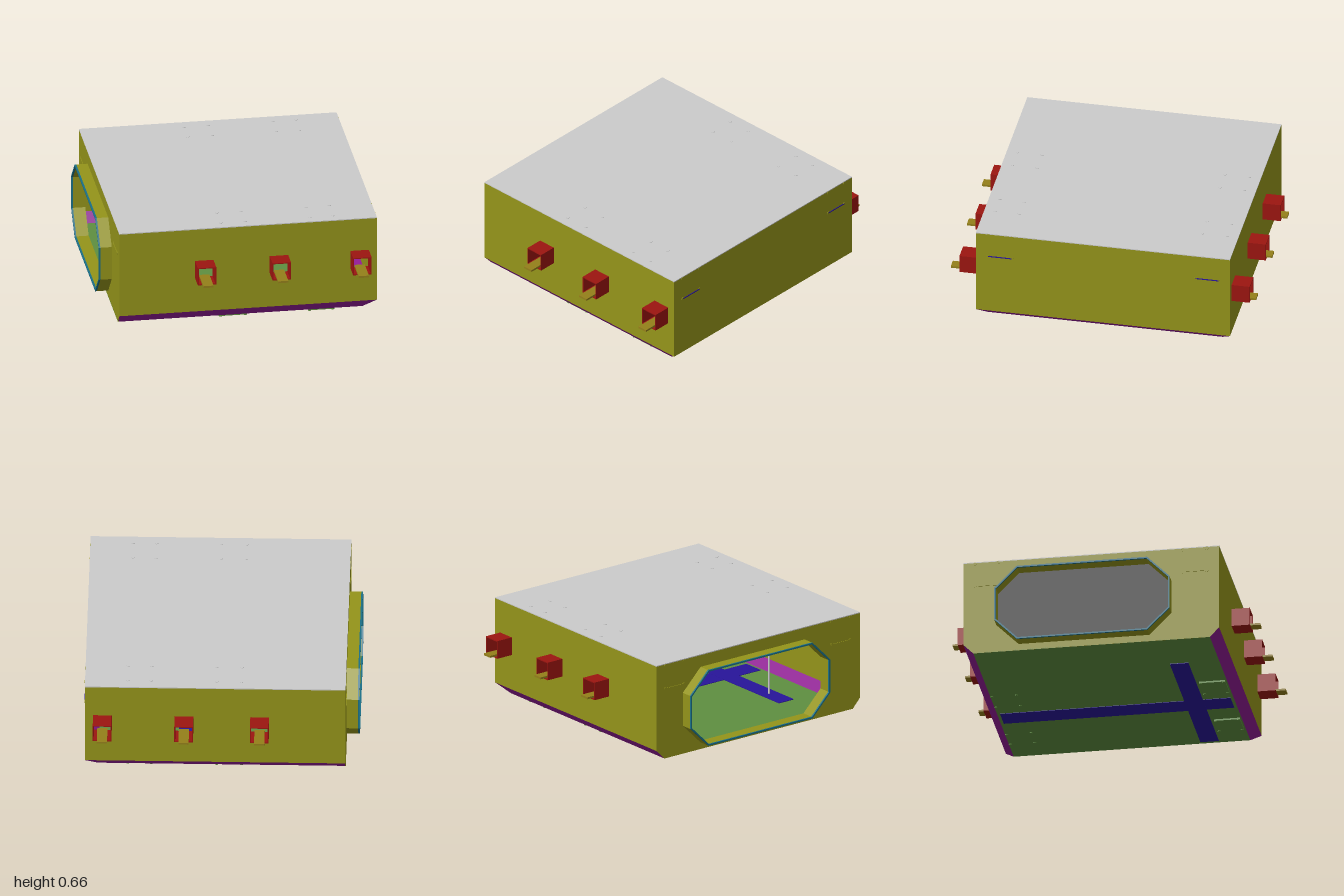
import * as THREE from 'three';

const X0 = -0.8, X1 = 0.875, Z0 = -0.845, Z1 = 0.82, TOP = 0.66, SKIRT = 0.08, FLOOR = 0.015, T = 0.006;
const paint = (color) => new THREE.MeshStandardMaterial({ color, side: THREE.DoubleSide, flatShading: true });

export function createModel() {
  const model = new THREE.Group();
  const olive = paint(0x94941a), red = paint(0x9c1510), purple = paint(0x8e1a92), green = paint(0x5f8f40);
  const blue = paint(0x28149a), teal = paint(0x1a7088), brass = paint(0x94801a), grey = paint(0xcccccc);

  const add = (name, geometry, material, x = 0, y = 0, z = 0) => {
    const mesh = new THREE.Mesh(geometry, material);
    mesh.name = name;
    mesh.position.set(x, y, z);
    model.add(mesh);
    return mesh;
  };
  // box given by its lower and upper corners
  const slab = (name, mat, x0, x1, y0, y1, z0, z1) =>
    add(name, new THREE.BoxGeometry(x1 - x0, y1 - y0, z1 - z0), mat, (x0 + x1) / 2, (y0 + y1) / 2, (z0 + z1) / 2);
  const points = (list) => list.map(([a, b]) => new THREE.Vector2(a, b));
  const rect = (a0, a1, b0, b1) => points([[a0, b0], [a1, b0], [a1, b1], [a0, b1]]);
  const plate = (outline, holes, depth) => {
    const shape = new THREE.Shape(outline);
    shape.holes = holes.map((h) => new THREE.Path(h));
    return new THREE.ExtrudeGeometry(shape, { depth, bevelEnabled: false });
  };
  const quad = (name, mat, a, b, c, d) => {
    const g = new THREE.BufferGeometry();
    g.setAttribute('position', new THREE.Float32BufferAttribute([...a, ...b, ...c, ...a, ...c, ...d], 3));
    g.computeVertexNormals();
    return add(name, g, mat);
  };

  // Roof and the plain side wall
  slab('roof', grey, X0, X1, TOP - T, TOP, Z0, Z1);
  slab('leftWall', olive, X1 - T, X1, SKIRT, TOP - T, Z0, Z1);

  // Front and back walls with square ports, spouts and tongues
  const ports = [-0.248, 0.238, 0.762], half = 0.06, py0 = 0.315, py1 = 0.435;
  const holes = ports.map((x) => rect(x - half, x + half, py0, py1));
  add('frontWall', plate(rect(X0, X1, SKIRT, TOP - T), holes, T), olive, 0, 0, Z1 - T);
  add('backWall', plate(rect(X0, X1, SKIRT, TOP - T), holes, T), olive, 0, 0, Z0);
  const spout = plate(rect(-half, half, py0, py1), [rect(-half + T, half - T, py0 + T, py1 - T)], 0.118);
  for (const x of ports) {
    add('frontSpout', spout, red, x, 0, Z1);
    add('backSpout', spout, red, x, 0, Z0 - 0.118);
    slab('frontTongue', brass, x - 0.033, x + 0.033, 0.322, 0.335, Z1, 1);
    slab('backTongue', brass, x - 0.033, x + 0.033, 0.322, 0.335, -1, Z0);
  }

  // Open side wall with an octagonal hatch; shapes are drawn in (-z, y) and turned to face x
  const octagon = (inset) => {
    const a0 = -0.51 + inset, a1 = 0.63 - inset, b0 = 0.06 + inset, b1 = 0.575 - inset, c = 0.145 - inset * 0.58;
    return points([[a0 + c, b0], [a1 - c, b0], [a1, b0 + c], [a1, b1 - c],
      [a1 - c, b1], [a0 + c, b1], [a0, b1 - c], [a0, b0 + c]]);
  };
  const F0 = -0.78, F1 = 0.76, FX = 0.79; // floor edges
  const side = points([[-F1, FLOOR], [-F0, FLOOR], [-Z0, SKIRT], [-Z0, TOP - T], [-Z1, TOP - T], [-Z1, SKIRT]]);
  add('rightWall', plate(side, [octagon(0.01)], T), olive, X0).rotation.y = Math.PI / 2;
  add('hatchCollar', plate(octagon(0), [octagon(0.01)], 0.074), olive, -0.874).rotation.y = Math.PI / 2;
  add('hatchRim', plate(octagon(0), [octagon(0.01)], 0.011), teal, -0.885).rotation.y = Math.PI / 2;

  // Sloping skirt on three sides and the floor
  quad('frontSkirt', purple, [X0, FLOOR, F1], [FX, FLOOR, F1], [X1, SKIRT, Z1], [X0, SKIRT, Z1]);
  quad('backSkirt', purple, [FX, FLOOR, F0], [X0, FLOOR, F0], [X0, SKIRT, Z0], [X1, SKIRT, Z0]);
  quad('leftSkirt', purple, [FX, FLOOR, F1], [FX, FLOOR, F0], [X1, SKIRT, Z0], [X1, SKIRT, Z1]);
  slab('floor', green, X0, FX, FLOOR, FLOOR + T, F0, F1);

  // Crossed strips, showing on both faces of the floor
  slab('longStrip', blue, 0.13, 0.28, 0.012, 0.024, -0.76, 0.74);
  slab('crossStrip', blue, -0.44, 0.76, 0.011, 0.025, 0.44, 0.56);

  // Small studs in groups of four on the roof and under the floor, with mounting pads
  const stud = new THREE.CylinderGeometry(0.011, 0.011, 0.006, 8);
  for (const [x0, x1] of [[-0.13, 0.03], [0.45, 0.6]]) {
    for (const [z0, z1] of [[-0.77, -0.61], [0.59, 0.75]]) {
      for (const x of [x0, x1]) for (const z of [z0, z1]) {
        add('roofStud', stud, grey, x, TOP, z);
        add('floorStud', stud, green, x, z > 0 ? 0.003 : 0.013, Math.min(z, 0.74));
      }
      if (z0 > 0) slab('mountingPad', green, x0 - 0.01, x1 + 0.01, 0.004, FLOOR, z0 - 0.01, z1);
    }
  }

  // Side wall studs and thin bars
  for (const [x, mat] of [[X0, olive], [X1, blue]]) {
    for (const [z0, z1] of [[-0.77, -0.62], [0.585, 0.74]]) {
      slab('sideBar', mat, x - 0.004, x + 0.004, 0.487, 0.493, z0, z1);
      for (const z of [z0, z1]) for (const y of [0.49, 0.646])
        add('sideStud', stud, olive, x, y, z).rotation.z = Math.PI / 2;
    }
  }

  // Headed pin standing inside
  add('pinShaft', new THREE.CylinderGeometry(0.006, 0.006, 0.37, 8), grey, -0.26, 0.205, 0.5);
  add('pinHead', new THREE.CylinderGeometry(0.012, 0.012, 0.015, 8), grey, -0.26, 0.392, 0.5);
  return model;
}
